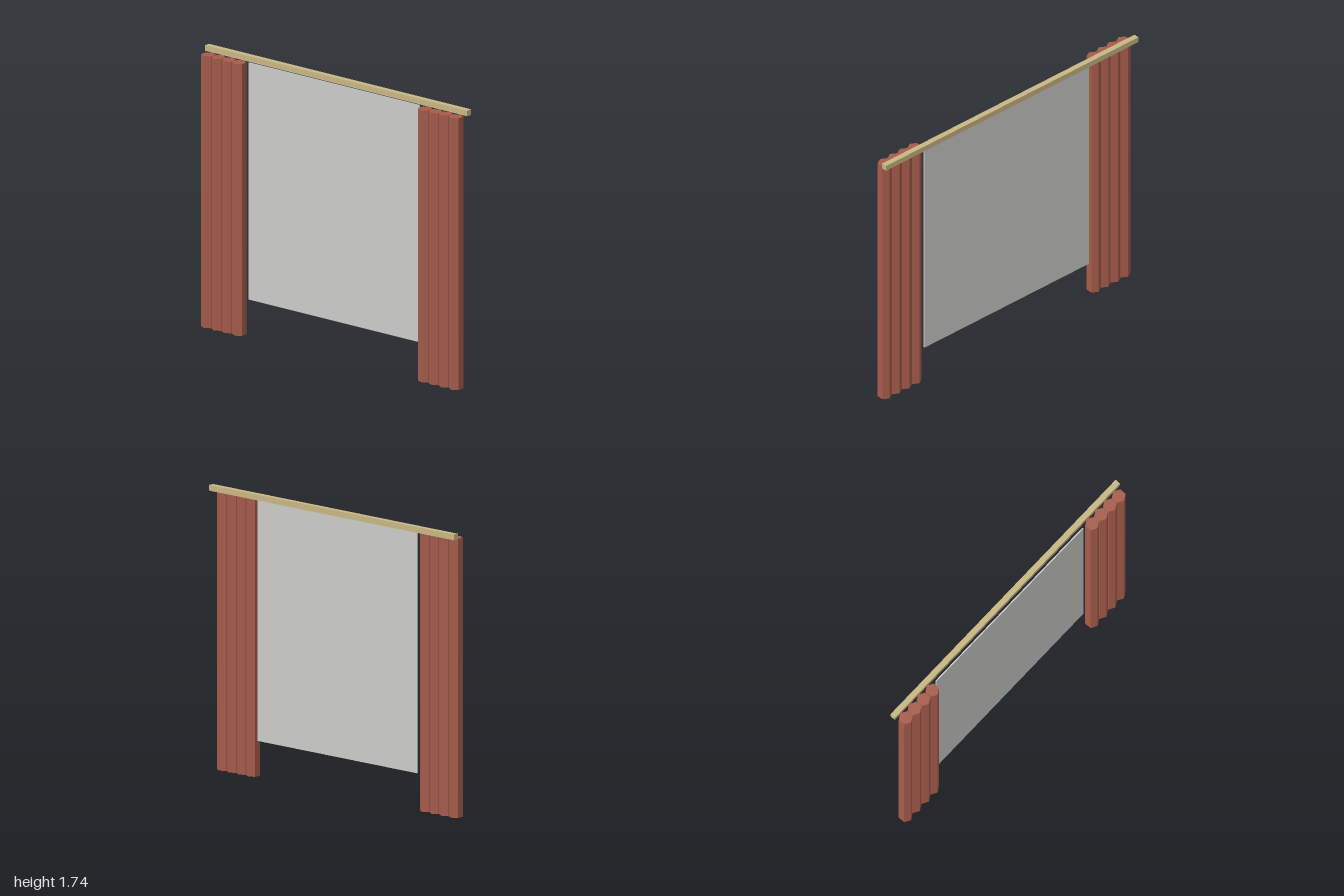
import * as THREE from 'three';

export function createModel() {
  const group = new THREE.Group();
  const fabric = new THREE.MeshStandardMaterial({ color: 0xa65c4b, flatShading: true });
  fabric.name = 'russet fabric';
  const sheer = new THREE.MeshStandardMaterial({ color: 0xcbcbc8 });
  sheer.name = 'pale grey cloth';
  const brass = new THREE.MeshStandardMaterial({ color: 0xc8b683 });
  brass.name = 'pale brass';

  const add = (name, geometry, material, x, y, z, parent = group) => {
    const mesh = new THREE.Mesh(geometry, material);
    mesh.name = name;
    mesh.position.set(x, y, z);
    parent.add(mesh);
  };

  // Curtain rail, set behind the folds
  add('rail', new THREE.BoxGeometry(2, 0.035, 0.035), brass, 0, 1.72, -0.041);

  // Thin centre panel
  add('centrePanel', new THREE.BoxGeometry(1.304, 1.482, 0.008), sheer, 0, 0.964, -0.006);

  // Gathered drapes: four six-sided folds on each side
  const fold = new THREE.CylinderGeometry(0.0435, 0.0435, 1.701, 6);
  for (const side of [-1, 1]) {
    const drape = new THREE.Group();
    drape.name = side > 0 ? 'leftDrape' : 'rightDrape';
    for (let i = 0; i < 4; i++) {
      add(`fold${i + 1}`, fold, fabric, side * (0.71 + i * 0.0785), 0.8505, 0.015, drape);
    }
    group.add(drape);
  }
  return group;
}
